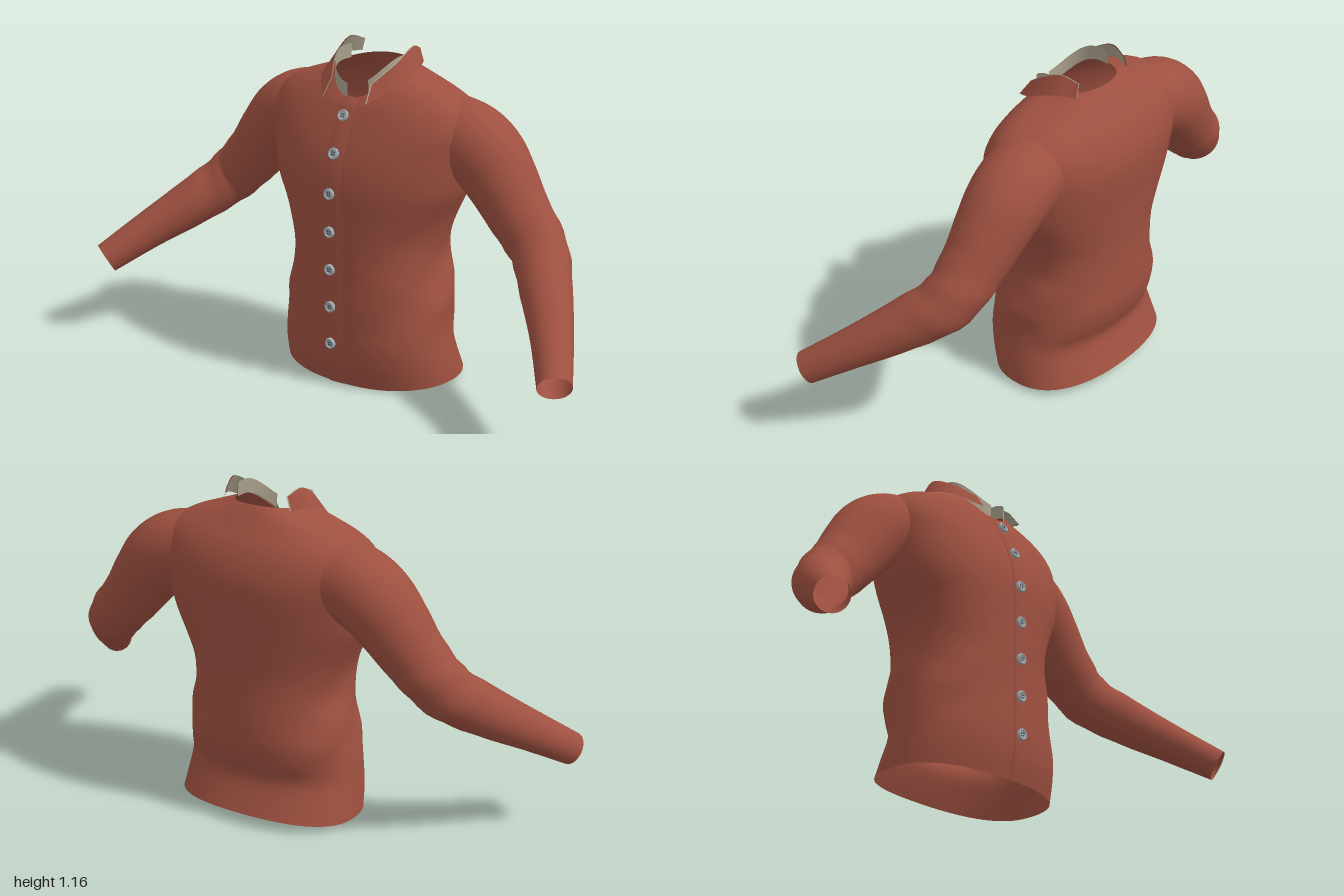
import * as THREE from 'three';

const V = (x, y, z) => new THREE.Vector3(x, y, z);
const cloth = new THREE.MeshStandardMaterial({ color: 0x9e5040, side: THREE.DoubleSide });
cloth.name = 'rust cloth';
const lining = new THREE.MeshStandardMaterial({ color: 0xaca28e, side: THREE.DoubleSide });
lining.name = 'beige lining';
const metal = new THREE.MeshStandardMaterial({ color: 0xa3adb2 });
metal.name = 'pale button';
const dark = new THREE.MeshStandardMaterial({ color: 0x4a4f55 });
dark.name = 'dark thread';

// Skin between rows of points, closed around or open
function skin(rows, closed, flip) {
  const n = rows[0].length, pos = [], idx = [];
  rows.forEach(r => r.forEach(p => pos.push(p.x, p.y, p.z)));
  for (let i = 0; i < rows.length - 1; i++) {
    for (let j = 0; j < (closed ? n : n - 1); j++) {
      const a = i * n + j, b = i * n + (j + 1) % n, c = a + n, d = b + n;
      if (flip) idx.push(a, c, b, b, c, d);
      else idx.push(a, b, c, b, d, c);
    }
  }
  const g = new THREE.BufferGeometry();
  g.setAttribute('position', new THREE.Float32BufferAttribute(pos, 3));
  g.setIndex(idx);
  g.computeVertexNormals();
  return g;
}

function add(parent, name, geometry, material) {
  const m = new THREE.Mesh(geometry, material);
  m.name = name;
  parent.add(m);
  return m;
}

// Torso rings: y at front, side and back, half width, front z, back z
const RINGS = [
  [0.005, 0.02, 0.045, 0.333, 0.14, -0.315],
  [0.08, 0.09, 0.10, 0.325, 0.158, -0.29],
  [0.16, 0.16, 0.17, 0.315, 0.165, -0.268],
  [0.23, 0.23, 0.23, 0.308, 0.165, -0.29],
  [0.30, 0.30, 0.30, 0.303, 0.165, -0.305],
  [0.38, 0.38, 0.38, 0.288, 0.165, -0.305],
  [0.46, 0.46, 0.46, 0.275, 0.167, -0.302],
  [0.54, 0.54, 0.54, 0.285, 0.167, -0.302],
  [0.62, 0.62, 0.62, 0.315, 0.168, -0.308],
  [0.70, 0.70, 0.71, 0.355, 0.167, -0.315],
  [0.76, 0.78, 0.80, 0.375, 0.16, -0.325],
  [0.83, 0.86, 0.88, 0.39, 0.142, -0.327],
  [0.89, 0.93, 0.95, 0.40, 0.118, -0.31],
  [0.935, 0.99, 1.00, 0.37, 0.097, -0.285],
  [0.965, 1.03, 1.04, 0.31, 0.082, -0.255],
  [0.985, 1.06, 1.075, 0.23, 0.072, -0.23],
  [1.00, 1.085, 1.10, 0.16, 0.06, -0.21],
  [1.01, 1.10, 1.11, 0.125, 0.05, -0.20],
];

// Point on a ring; angle 90 degrees is the front
function ringPoint([yf, ys, yb, hw, zf, zb], a) {
  const c = Math.cos(a), s = Math.sin(a), e = 2 / 2.25;
  const zc = (zf + zb) / 2, dz = (zf - zb) / 2;
  // soft folds on the sides of the waist
  const waist = Math.exp(-(((ys - 0.36) / 0.17) ** 2));
  const k = 1 + 0.022 * waist * Math.abs(c) * Math.sin(5 * a + 26 * ys);
  const x = hw * Math.sign(c) * Math.abs(c) ** e * k;
  const z = zc + dz * Math.sign(s) * Math.abs(s) ** e * k;
  return V(x, ys + ((s > 0 ? yf : yb) - ys) * s * s, z);
}

function torso() {
  const n = 72, sub = 3, columns = [];
  for (let j = 0; j < n; j++) {
    const pts = RINGS.map(r => ringPoint(r, j / n * Math.PI * 2));
    columns.push(new THREE.CatmullRomCurve3(pts));
  }
  const rows = [], m = (RINGS.length - 1) * sub;
  for (let i = 0; i <= m; i++) rows.push(columns.map(c => c.getPoint(i / m)));
  return skin(rows, true, true);
}

// Sleeve stations: centre x, y, z and radius
const SLEEVE = [
  [0.27, 0.90, -0.13, 0.13], [0.36, 0.875, -0.13, 0.135], [0.425, 0.835, -0.13, 0.132],
  [0.485, 0.77, -0.125, 0.122], [0.56, 0.675, -0.115, 0.108], [0.66, 0.57, -0.09, 0.097],
  [0.76, 0.475, 0.02, 0.085], [0.86, 0.385, 0.145, 0.069], [0.955, 0.29, 0.28, 0.056],
];

function sleeve(side) {
  const curve = new THREE.CatmullRomCurve3(SLEEVE.map(p => V(p[0], p[1], p[2])));
  const radii = new THREE.CatmullRomCurve3(SLEEVE.map((p, i) => V(p[3], i, 0)));
  const rows = [], m = 48, n = 36, ref = V(0.65, 0.76, 0);
  for (let i = 0; i <= m; i++) {
    const t = i / m, c = curve.getPoint(t), tan = curve.getTangent(t);
    const v = tan.clone().cross(ref).normalize(), u = v.clone().cross(tan).normalize();
    const elbow = Math.exp(-(((t - 0.63) / 0.09) ** 2));
    const row = [];
    for (let j = 0; j < n; j++) {
      const a = j / n * Math.PI * 2;
      const r = radii.getPoint(t).x * (1 + 0.03 * elbow * Math.sin(2 * a + 75 * t));
      const p = c.clone().addScaledVector(u, r * Math.cos(a)).addScaledVector(v, -r * Math.sin(a));
      p.x *= side;
      row.push(p);
    }
    rows.push(row);
  }
  return skin(rows, true, side > 0);
}

// Folded collar wing running from behind the neck to a point in front
function collarWing(side, inset) {
  const edge = pts => new THREE.CatmullRomCurve3(pts.map(([x, y, z]) => V(side * (x - inset), y, z)));
  const top = edge([[0.118, 1.15, -0.178], [0.132, 1.168, -0.12], [0.126, 1.125, -0.03], [0.085, 1.065, 0.05]]);
  const low = edge([[0.132, 1.105, -0.18], [0.165, 1.105, -0.11], [0.16, 1.06, 0.0], [0.092, 1.005, 0.092]]);
  return skin([low.getPoints(16), top.getPoints(16)], false, side > 0);
}

// Inner collar stand rising from the neck edge
function collarStand(from, to) {
  const neck = RINGS[RINGS.length - 1], low = [], top = [];
  for (let i = 0; i <= 16; i++) {
    const p = ringPoint(neck, THREE.MathUtils.degToRad(from + (to - from) * i / 16));
    low.push(V(p.x, p.y - 0.006, p.z + 0.003));
    top.push(V(p.x * 0.97, p.y + 0.045, p.z + 0.004));
  }
  return skin([low, top], false, true);
}

// Front centre line as height to depth
const frontCurve = new THREE.CatmullRomCurve3(RINGS.map(r => V(0, r[0], r[4])));
const frontPoints = frontCurve.getPoints(100);
const frontAt = y => frontPoints.reduce((b, p) => Math.abs(p.y - y) < Math.abs(b.y - y) ? p : b);

function button(y) {
  const g = new THREE.Group();
  g.name = 'button';
  add(g, 'buttonDisc', new THREE.CylinderGeometry(0.019, 0.019, 0.008, 20).rotateX(Math.PI / 2), metal);
  add(g, 'buttonRim', new THREE.TorusGeometry(0.016, 0.004, 8, 20).translate(0, 0, 0.004), metal);
  for (let i = 0; i < 4; i++) {
    const a = Math.PI / 4 + i * Math.PI / 2;
    const hole = new THREE.CylinderGeometry(0.003, 0.003, 0.002, 8).rotateX(Math.PI / 2);
    add(g, 'buttonHole', hole.translate(0.006 * Math.cos(a), 0.006 * Math.sin(a), 0.0045), dark);
  }
  const p = frontAt(y), up = frontAt(y + 0.03), down = frontAt(y - 0.03);
  g.position.set(0, y, p.z + 0.008);
  g.rotation.x = Math.atan2(up.z - down.z, up.y - down.y);
  return g;
}

export function createModel() {
  const shirt = new THREE.Group();
  shirt.name = 'shirt';
  add(shirt, 'torso', torso(), cloth);

  for (const side of [1, -1]) {
    const label = side > 0 ? 'left' : 'right';
    add(shirt, label + 'Sleeve', sleeve(side), cloth);
    add(shirt, label + 'Collar', collarWing(side, 0), cloth);
    add(shirt, label + 'CollarLining', collarWing(side, 0.005), lining);
  }
  add(shirt, 'leftCollarStand', collarStand(-15, 62), lining);
  add(shirt, 'rightCollarStand', collarStand(95, 195), lining);

  // Overlapping front edge that carries the buttons
  const strip = [[-0.026, -0.002], [-0.024, 0.004], [0.0, 0.004], [0.03, 0.002], [0.045, -0.004]];
  const rows = frontPoints.map(p => strip.map(([x, dz]) => V(x, p.y, p.z + dz)));
  add(shirt, 'placket', skin(rows, false, false), cloth);

  for (const y of [0.16, 0.295, 0.43, 0.565, 0.70, 0.835, 0.955]) shirt.add(button(y));
  return shirt;
}
